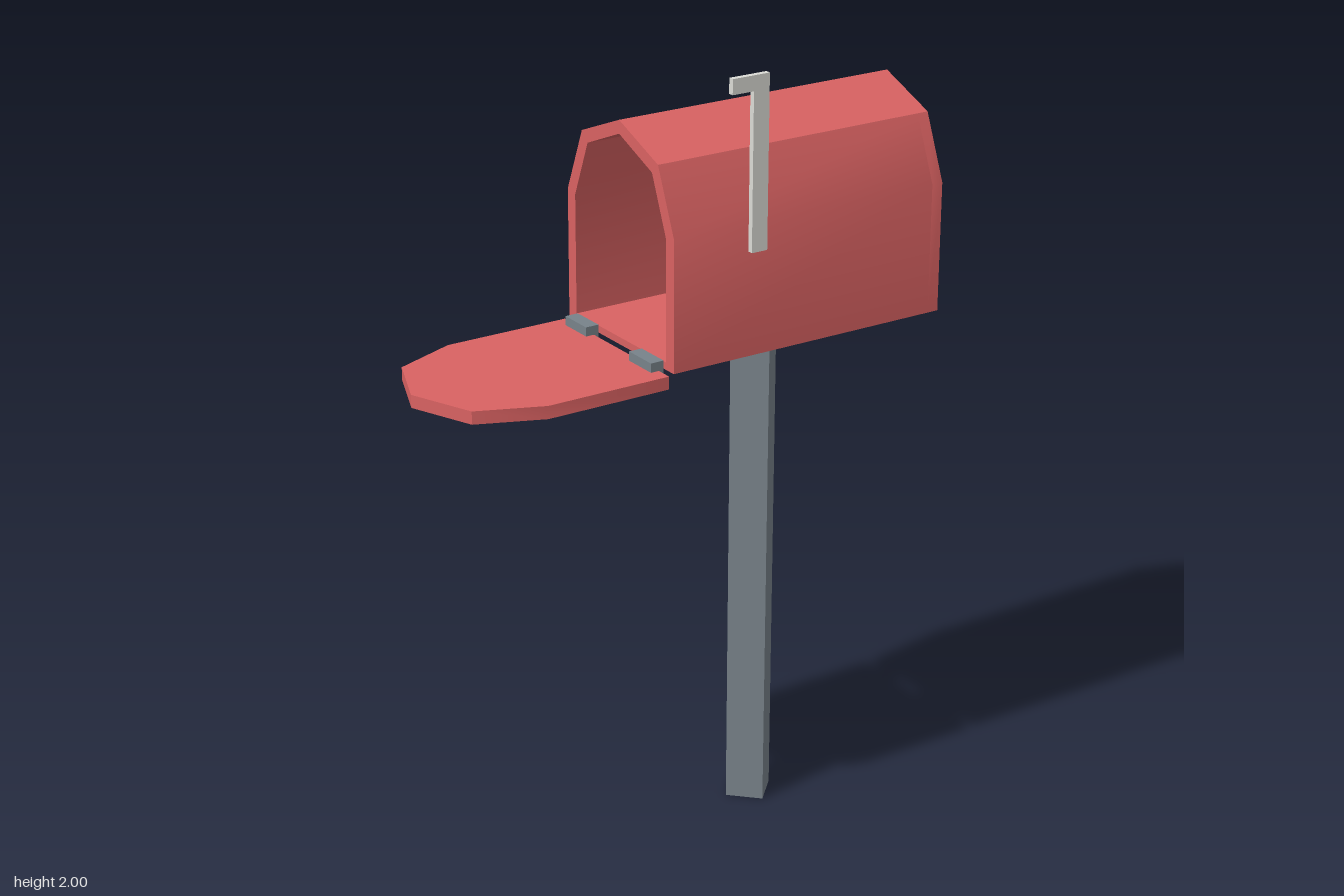
import * as THREE from 'three';
import { toCreasedNormals } from 'three/addons/utils/BufferGeometryUtils.js';

const red = new THREE.MeshStandardMaterial({ color: 0xd96262 });
const steel = new THREE.MeshStandardMaterial({ color: 0x78838a });
const pale = new THREE.MeshStandardMaterial({ color: 0xdcdcd6 });

const MID_Z = -0.014; // centre line of box, door and post

// Arched outline: straight sides, a slight lean inward, then a shallow ridge
function archPoints(inset = 0, floor = 0) {
  const side = 0.228 - inset, shoulder = 0.162 - inset * 0.75;
  return [
    [-side, floor], [side, floor], [side, 0.325 - inset * 0.2],
    [shoulder, 0.485 - inset * 0.75], [0, 0.55 - inset], [-shoulder, 0.485 - inset * 0.75],
    [-side, 0.325 - inset * 0.2],
  ].map(([x, y]) => new THREE.Vector2(x, y));
}

function extrude(shape, depth) {
  const geometry = new THREE.ExtrudeGeometry(shape, { depth, bevelEnabled: false });
  return toCreasedNormals(geometry, 0.5);
}

function addMesh(parent, name, geometry, material, x, y, z) {
  const mesh = new THREE.Mesh(geometry, material);
  mesh.name = name;
  mesh.position.set(x, y, z);
  parent.add(mesh);
  return mesh;
}

export function createModel() {
  const model = new THREE.Group();
  model.name = 'mailbox';

  // Square post, turned corner-on to the front
  const post = new THREE.CylinderGeometry(0.068, 0.068, 1.315, 4).toNonIndexed();
  post.computeVertexNormals();
  addMesh(model, 'post', post, steel, 0.278, 0.6575, -0.012);

  // Hollow box, open at the -x end, closed by a wall at the other
  const box = new THREE.Group();
  box.name = 'box';
  model.add(box);
  const tube = new THREE.Shape(archPoints());
  tube.holes.push(new THREE.Path(archPoints(0.033, 0.018).reverse()));
  addMesh(box, 'shell', extrude(tube, 0.74).rotateY(Math.PI / 2), red, -0.105, 1.315, MID_Z);
  const wall = extrude(new THREE.Shape(archPoints()), 0.03);
  addMesh(box, 'endWall', wall.rotateY(Math.PI / 2), red, 0.635, 1.315, MID_Z);

  // Door with the same outline, folded down flat
  const door = extrude(new THREE.Shape(archPoints()), 0.032);
  door.rotateX(-Math.PI / 2).rotateY(Math.PI / 2);
  addMesh(model, 'door', door, red, -0.118, 1.28, MID_Z);

  // Hinges bridging the gap between door and box
  for (const s of [-1, 1]) {
    const hinge = new THREE.BoxGeometry(0.035, 0.032, 0.093);
    addMesh(model, s > 0 ? 'frontHinge' : 'backHinge', hinge, steel, -0.1225, 1.319, MID_Z - 0.002 + s * 0.141);
  }

  // Raised signal flag: upright strip with a short arm at the top
  const flag = new THREE.Shape([
    [0.09, 1.58], [0.133, 1.58], [0.133, 2], [0.032, 2], [0.032, 1.963], [0.09, 1.963],
  ].map(([x, y]) => new THREE.Vector2(x, y)));
  addMesh(model, 'flag', extrude(flag, 0.014), pale, 0, 0, 0.229);

  return model;
}
